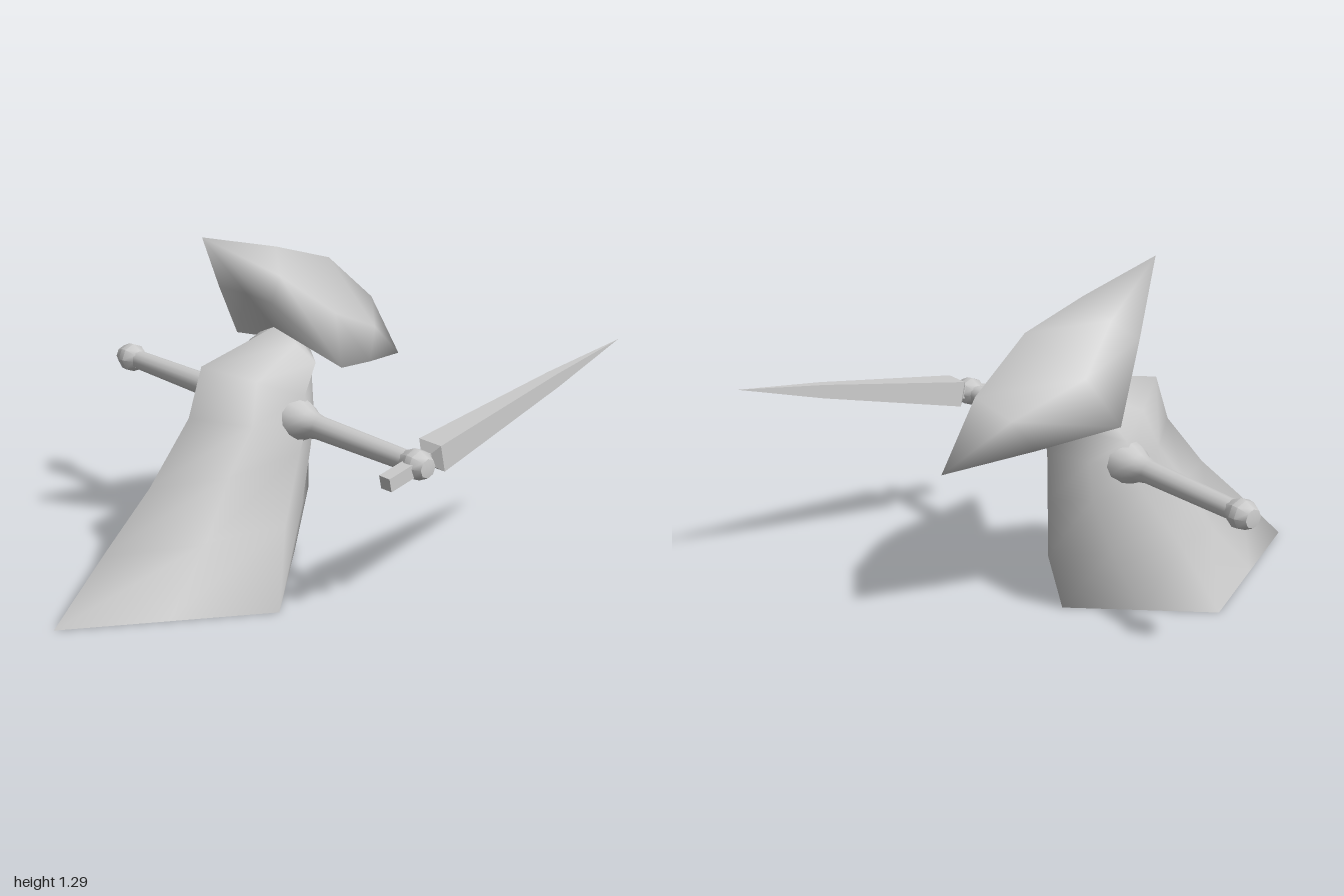
import * as THREE from 'three';
import { toCreasedNormals } from 'three/addons/utils/BufferGeometryUtils.js';

const stone = new THREE.MeshStandardMaterial({ color: 0xcccccc, side: THREE.DoubleSide });
stone.name = 'pale grey';

function add(parent, name, geometry) {
  const mesh = new THREE.Mesh(geometry, stone);
  mesh.name = name;
  parent.add(mesh);
  return mesh;
}

// Skin a series of closed rings, keeping only edges sharper than the crease angle
function loft(rings, crease) {
  const out = [];
  const tri = (a, b, c) => {
    const ab = b.clone().sub(a), ac = c.clone().sub(a);
    if (ab.cross(ac).length() > 1e-6) out.push(...a.toArray(), ...b.toArray(), ...c.toArray());
  };
  for (let i = 0; i < rings.length - 1; i++) {
    const lo = rings[i], hi = rings[i + 1], n = lo.length;
    for (let j = 0; j < n; j++) {
      const k = (j + 1) % n;
      tri(lo[j], lo[k], hi[k]);
      tri(lo[j], hi[k], hi[j]);
    }
  }
  const g = new THREE.BufferGeometry();
  g.setAttribute('position', new THREE.Float32BufferAttribute(out, 3));
  return toCreasedNormals(g, crease);
}

// Complete a half ring (first and last points on the centre line) by mirroring it
function mirrored(half) {
  const right = half.map(p => new THREE.Vector3(...p));
  const left = right.slice(1, -1).reverse().map(p => new THREE.Vector3(-p.x, p.y, p.z));
  return [...right, ...left];
}

const same = (p, n) => Array(n).fill(p);

// Robe rings: front ridge, front quarter, side, back quarter, back
const robe = [
  [[0, 0, 1], [0.2, 0, 0.655], [0.4, 0, 0.31], [0.2, 0, 0.095], [0, 0, -0.12]],
  [[0, 0.22, 0.78], [0.18, 0.235, 0.465], [0.305, 0.27, 0.2], [0.16, 0.25, -0.01], [0, 0.23, -0.185]],
  [[0, 0.42, 0.57], [0.16, 0.45, 0.34], [0.235, 0.5, 0.07], [0.13, 0.47, -0.08], [0, 0.45, -0.185]],
  [[0, 0.64, 0.39], [0.15, 0.61, 0.22], [0.235, 0.6, 0.03], [0.13, 0.62, -0.09], [0, 0.64, -0.185]],
  [[0, 0.82, 0.33], [0.115, 0.755, 0.17], [0.205, 0.695, 0.02], [0.12, 0.73, -0.09], [0, 0.74, -0.185]],
  // sloping collar and neck, closed inside the hood
  [[0, 0.9, -0.01], [0.1, 0.855, -0.03], [0.185, 0.8, -0.05], [0.1, 0.8, -0.11], [0, 0.79, -0.185]],
  same([0, 0.89, -0.09], 5),
];

// Hood rings from front peak to back peak: crest, bulge, brim edge, underside
const hood = [
  same([0, 1.29, 0.32], 4),
  [[0, 1.2, -0.02], [0.09, 1.12, 0.04], [0.145, 1.045, 0.125], [0, 1.05, 0.12]],
  [[0, 1.115, -0.28], [0.18, 0.965, -0.15], [0.29, 0.8, -0.08], [0, 0.9, -0.01]],
  [[0, 0.925, -0.5], [0.105, 0.845, -0.42], [0.155, 0.735, -0.35], [0, 0.765, -0.32]],
  same([0, 0.67, -0.65], 4),
];

// Arm profile from shoulder flare to wrist, then the knobbly fist
const armProfile = [[0.085, 0.17], [0.072, 0.22], [0.052, 0.26], [0.043, 0.31], [0.036, 0.77]]
  .map(p => new THREE.Vector2(...p));
const fistProfile = [[0, 0.74], [0.036, 0.74], [0.056, 0.785], [0.054, 0.81], [0.035, 0.85], [0, 0.855]]
  .map(p => new THREE.Vector2(...p));

export function createModel() {
  const model = new THREE.Group();
  model.name = 'hoodedSwordsman';

  add(model, 'robe', loft(robe.map(mirrored), Math.PI));
  add(model, 'hood', loft(hood.map(mirrored), Math.PI));

  for (const [side, name] of [[1, 'left'], [-1, 'right']]) {
    const arm = new THREE.Group();
    arm.name = name + 'Arm';
    arm.position.set(0, 0.605, 0.04);
    arm.rotation.z = -side * Math.PI / 2;
    add(arm, name + 'Sleeve', new THREE.LatheGeometry(armProfile, 12));
    add(arm, name + 'Fist', toCreasedNormals(new THREE.LatheGeometry(fistProfile, 8), 0.8));
    model.add(arm);
  }

  // Sword pointing backwards and slightly up from the left fist
  const sword = new THREE.Group();
  sword.name = 'sword';
  sword.position.set(0.795, 0.605, 0.04);
  sword.rotation.x = Math.atan2(0.235, 1.03);
  const grip = add(sword, 'grip', new THREE.BoxGeometry(0.05, 0.05, 0.22));
  grip.position.z = 0.04;
  const square = (z, w, h) =>
    [[-w, -h], [w, -h], [w, h], [-w, h]].map(([x, y]) => new THREE.Vector3(x, y, z));
  add(sword, 'blade', loft([
    square(-0.05, 0, 0), square(-0.05, 0.025, 0.025), square(-0.075, 0.052, 0.05),
    square(-0.7, 0.02, 0.026), square(-1.06, 0, 0),
  ], 0.3));
  model.add(sword);

  return model;
}
